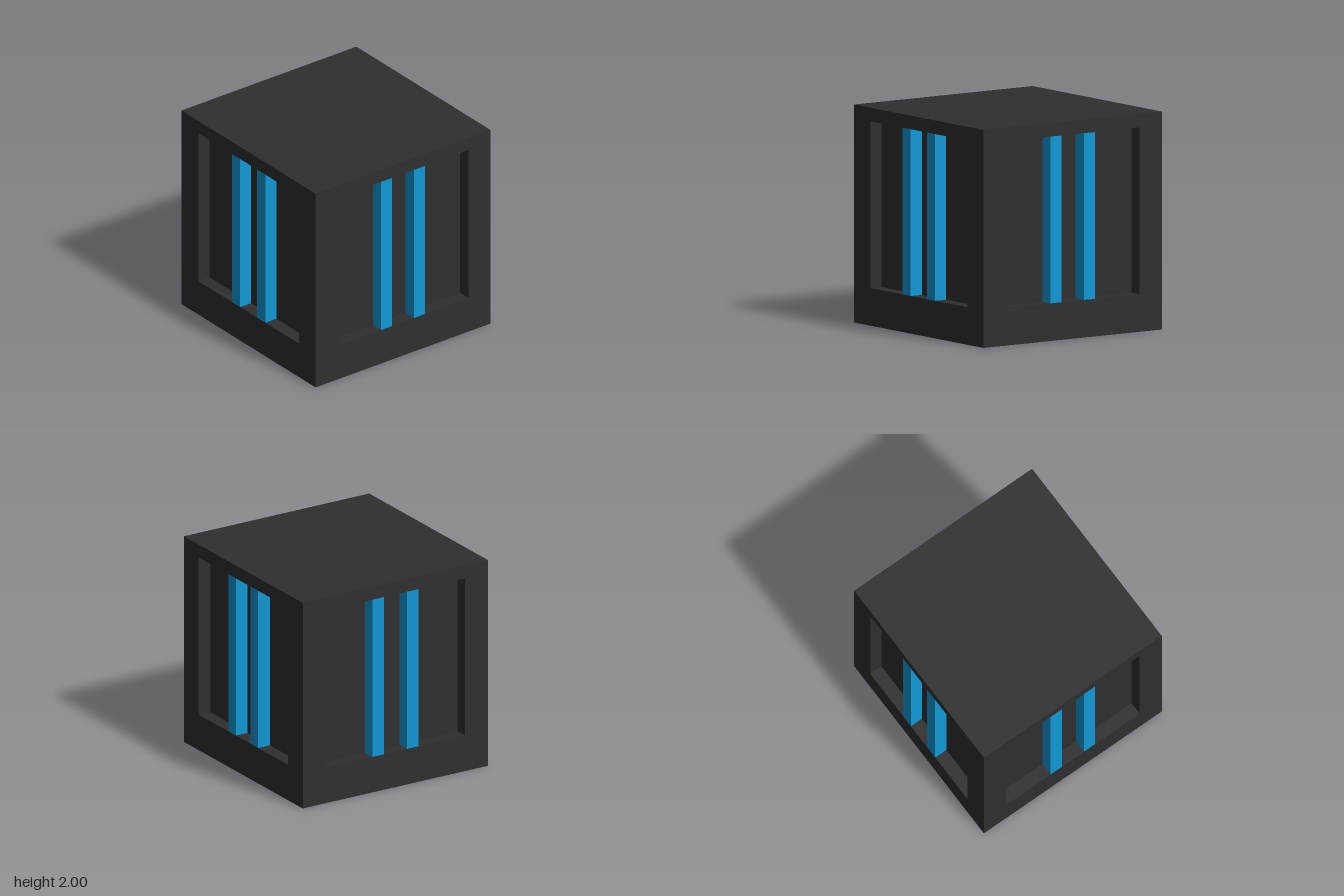
import * as THREE from 'three';

const HALF = 1, DEPTH = 0.125;
const LEFT = -0.75, RIGHT = 0.75, BOTTOM = 0.345, TOP = 1.875;

export function createModel() {
  const charcoal = new THREE.MeshStandardMaterial({ name: 'charcoal', color: 0x2f2f2f });
  const blue = new THREE.MeshStandardMaterial({ name: 'brightBlue', color: 0x0f98d6 });
  const model = new THREE.Group();
  model.name = 'barredCube';

  const add = (parent, name, geometry, material, x, y, z, rx = 0, ry = 0) => {
    const mesh = new THREE.Mesh(geometry, material);
    mesh.name = name;
    mesh.position.set(x, y, z);
    mesh.rotation.set(rx, ry, 0);
    parent.add(mesh);
  };

  // Closed top and bottom
  const lid = new THREE.PlaneGeometry(2, 2);
  add(model, 'topFace', lid, charcoal, 0, 2, 0, -Math.PI / 2);
  add(model, 'bottomFace', lid, charcoal, 0, 0, 0, Math.PI / 2);

  // Side frame with a window opening
  const rect = (path, x0, y0, x1, y1) =>
    path.moveTo(x0, y0).lineTo(x1, y0).lineTo(x1, y1).lineTo(x0, y1).closePath();
  const outline = rect(new THREE.Shape(), -HALF, 0, HALF, 2);
  outline.holes.push(rect(new THREE.Path(), LEFT, BOTTOM, RIGHT, TOP));
  const frame = new THREE.ShapeGeometry(outline);

  const w = RIGHT - LEFT, h = TOP - BOTTOM, midY = (TOP + BOTTOM) / 2;
  const back = new THREE.PlaneGeometry(w, h);
  const jamb = new THREE.PlaneGeometry(DEPTH, h);
  const sill = new THREE.PlaneGeometry(w, DEPTH);
  const bar = new THREE.BoxGeometry(0.125, h, DEPTH);
  const midZ = HALF - DEPTH / 2;

  // Four identical sides, each with a recess and two flush bars
  ['front', 'left', 'back', 'right'].forEach((label, i) => {
    const side = new THREE.Group();
    side.name = label + 'Side';
    side.rotation.y = i * Math.PI / 2;
    add(side, 'frame', frame, charcoal, 0, 0, HALF);
    add(side, 'recessBack', back, charcoal, 0, midY, HALF - DEPTH);
    add(side, 'recessSill', sill, charcoal, 0, BOTTOM, midZ, -Math.PI / 2);
    add(side, 'recessCeiling', sill, charcoal, 0, TOP, midZ, Math.PI / 2);
    for (const s of [-1, 1]) {
      add(side, 'recessJamb', jamb, charcoal, s * RIGHT, midY, midZ, 0, -s * Math.PI / 2);
      add(side, 'bar', bar, blue, s * 0.1875, midY, midZ);
    }
    model.add(side);
  });
  return model;
}
